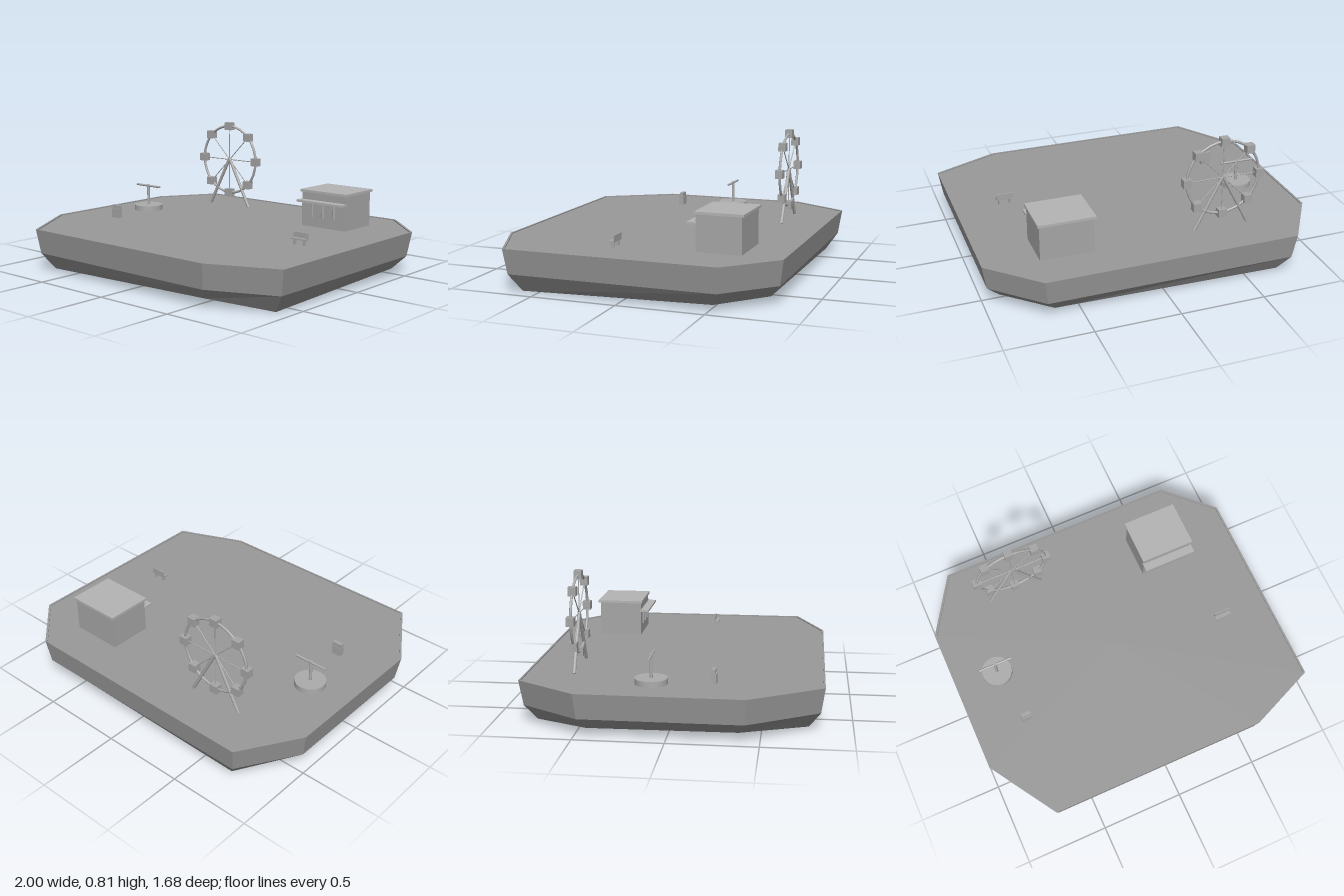
import * as THREE from 'three';

const paint = (color, flatShading = true) =>
  new THREE.MeshStandardMaterial({ color, flatShading, side: THREE.DoubleSide });
const islandMat = paint(0x999999);
const wallMat = paint(0xa6a6a6);
const lightMat = paint(0xb4b4b4);
const propMat = paint(0xa6a6a6);
const roundMat = paint(0xacacac, false);
const DECK = 0.248;

function add(parent, name, mat, geo, x = 0, y = 0, z = 0) {
  const m = new THREE.Mesh(geo, mat);
  m.name = name;
  m.position.set(x, y, z);
  parent.add(m);
  return m;
}

// Box given by its extents on each axis
function box(parent, name, mat, x0, x1, y0, y1, z0, z1) {
  return add(parent, name, mat, new THREE.BoxGeometry(x1 - x0, y1 - y0, z1 - z0),
    (x0 + x1) / 2, (y0 + y1) / 2, (z0 + z1) / 2);
}

// Smooth round bar between two points
function bar(parent, name, a, b, r) {
  const p = new THREE.Vector3(...a), q = new THREE.Vector3(...b);
  const d = q.clone().sub(p);
  const m = add(parent, name, roundMat, new THREE.CylinderGeometry(r, r, d.length(), 12));
  m.position.copy(p).add(q).multiplyScalar(0.5);
  m.quaternion.setFromUnitVectors(new THREE.Vector3(0, 1, 0), d.normalize());
  return m;
}

function group(parent, name) {
  const g = new THREE.Group();
  g.name = name;
  parent.add(g);
  return g;
}

// Eight-cornered slab with a low lip round the deck and an uneven base
function islandGeometry() {
  const outline = [[-0.78, -0.84], [0.72, -0.84], [1, -0.57], [1, 0.67],
    [0.6, 0.84], [-0.74, 0.84], [-1, 0.43], [-1, -0.49]];
  const baseY = [0.01, 0.032, 0.027, 0, 0.04, 0.011, 0.04, 0.035];
  const rings = [[0.988, DECK], [0.988, 0.254], [1, 0.254], [0.975, 0.107], [0.9, null]];
  const n = outline.length, pos = [], idx = [];
  for (const [s, y] of rings)
    outline.forEach(([x, z], i) => pos.push(x * s, y ?? baseY[i], z * s));
  const top = pos.length / 3, base = top + 1;
  pos.push(0, DECK, 0, 0, 0.026, 0);
  const last = (rings.length - 1) * n;
  for (let i = 0; i < n; i++) {
    const j = (i + 1) % n;
    for (let a = 0; a < last; a += n) {
      const b = a + n;
      idx.push(a + i, a + j, b + j, a + i, b + j, b + i);
    }
    idx.push(top, j, i, base, last + i, last + j);
  }
  const g = new THREE.BufferGeometry();
  g.setAttribute('position', new THREE.Float32BufferAttribute(pos, 3));
  g.setIndex(idx);
  const flat = g.toNonIndexed();
  flat.computeVertexNormals();
  return flat;
}

function buildWheel(parent) {
  const g = group(parent, 'ferrisWheel');
  const R = 0.2245, hubY = 0.561;
  g.position.set(-0.42, hubY, -0.569);
  add(g, 'wheelRim', roundMat, new THREE.TorusGeometry(R, 0.008, 8, 32));
  for (let i = 0; i < 8; i++) {
    const a = i * Math.PI / 4, x = R * Math.cos(a), y = R * Math.sin(a);
    bar(g, 'spoke', [0, 0, 0], [x, y, 0], 0.003);
    add(g, 'cabin', propMat, new THREE.BoxGeometry(0.05, 0.05, 0.045), x, y, 0);
  }
  for (const s of [-1, 1])
    bar(g, 'supportLeg', [0, 0.008, 0], [s * 0.168, DECK - hubY, 0], 0.01);
}

function buildKiosk(parent) {
  const g = group(parent, 'kiosk');
  box(g, 'walls', wallMat, 0.363, 0.68, DECK, 0.457, -0.6, -0.338);
  box(g, 'roof', lightMat, 0.354, 0.69, 0.457, 0.472, -0.613, -0.33);
  box(g, 'awning', lightMat, 0.356, 0.688, 0.4, 0.413, -0.345, -0.287);
  for (const x of [0.44, 0.52, 0.6])
    bar(g, 'windowPost', [x, 0.31, -0.336], [x, 0.395, -0.336], 0.007);
}

function buildSpinner(parent) {
  const g = group(parent, 'spinnerRide');
  g.position.set(-0.733, DECK, -0.107);
  add(g, 'platform', roundMat, new THREE.CylinderGeometry(0.092, 0.092, 0.033, 32), 0, 0.0165, 0);
  bar(g, 'pole', [0, 0.03, 0], [0, 0.165, 0], 0.009);
  bar(g, 'crossArm', [-0.104, 0.157, 0], [0.104, 0.157, 0], 0.007);
}

function buildBench(parent) {
  const g = group(parent, 'bench');
  box(g, 'seat', propMat, 0.643, 0.745, 0.278, 0.287, 0.114, 0.146);
  box(g, 'backrest', propMat, 0.643, 0.745, 0.287, 0.318, 0.114, 0.121);
  for (const x of [0.662, 0.728])
    box(g, 'benchLeg', propMat, x - 0.005, x + 0.005, DECK, 0.278, 0.12, 0.142);
}

function buildBin(parent) {
  const g = group(parent, 'bin');
  box(g, 'binBody', propMat, -0.708, -0.647, DECK, 0.305, 0.218, 0.25);
  box(g, 'binTop', propMat, -0.708, -0.647, 0.305, 0.328, 0.221, 0.244);
}

export function createModel() {
  const model = new THREE.Group();
  model.name = 'funfairIsland';
  add(model, 'island', islandMat, islandGeometry());
  buildWheel(model);
  buildKiosk(model);
  buildSpinner(model);
  buildBench(model);
  buildBin(model);
  return model;
}
